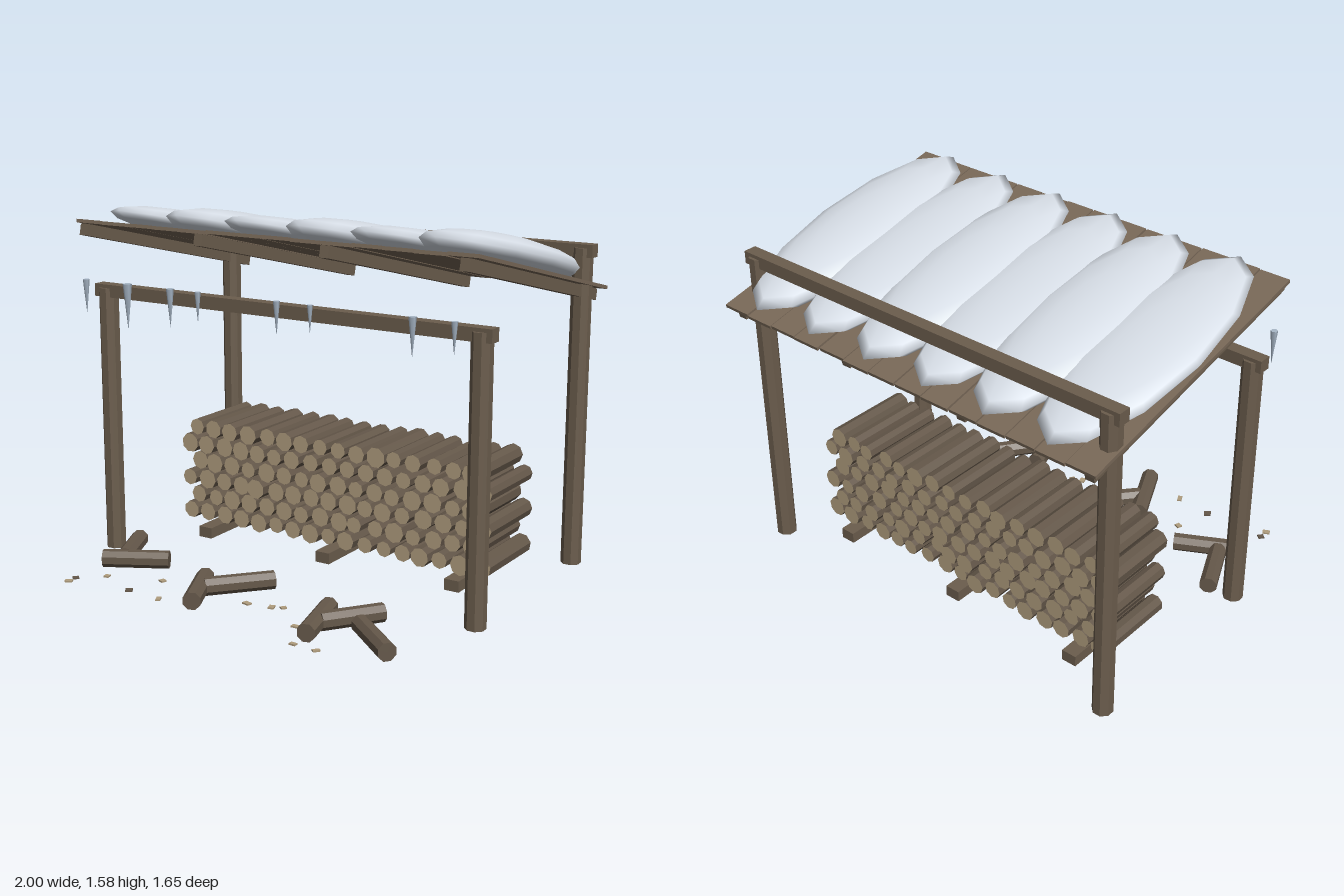
import * as THREE from 'three';

const mat = (name, color, flatShading = true) => {
  const m = new THREE.MeshStandardMaterial({ color, flatShading });
  m.name = name;
  return m;
};

export function createModel() {
  const timber = mat('timber', 0x6b5d4d);
  const plankWood = mat('plank wood', 0x786857);
  const bark = mat('bark', 0x65584a);
  const cutWood = mat('cut wood', 0xb09d7e);
  const snow = mat('snow', 0xdfe6ef, false);
  const ice = mat('ice', 0xa9b8c8, false);

  let seed = 7;
  const rand = (a, b) => {
    seed = (seed * 16807) % 2147483647;
    return a + (b - a) * (seed / 2147483647);
  };

  const model = new THREE.Group();
  model.name = 'woodShelter';
  const group = (name) => {
    const g = new THREE.Group();
    g.name = name;
    model.add(g);
    return g;
  };
  const add = (parent, name, geo, material, x, y, z) => {
    const m = new THREE.Mesh(geo, material);
    m.name = name;
    m.position.set(x, y, z);
    parent.add(m);
    return m;
  };
  const box = (w, h, d) => new THREE.BoxGeometry(w, h, d);

  // Frame: four posts and two cross beams
  const frame = group('frame');
  for (const [name, z, h] of [['front', 0.265, 1.205], ['back', -0.662, 1.415]]) {
    for (const x of [-0.925, 0.925]) {
      const post = new THREE.CylinderGeometry(0.045, 0.045, h, 8).rotateY(Math.PI / 8);
      add(frame, name + 'Post', post, timber, x, h / 2, z);
    }
    add(frame, name + 'Beam', box(1.96, 0.056, 0.058), timber, 0, h - 0.012, z);
  }

  // Sloping roof: local y is the roof normal
  const roof = group('roof');
  roof.position.set(0, 1.367, -0.205);
  roof.rotation.x = -0.231;
  for (let i = 0; i < 14; i++) {
    const plank = add(roof, 'plank', box(0.134, 0.015, rand(1.25, 1.265)), plankWood,
      -0.91 + i * 0.14, rand(-0.002, 0.002), rand(-0.003, 0.003));
    plank.rotation.y = rand(-0.004, 0.004);
  }
  for (const x of [-0.925, -0.31, 0.305, 0.922]) {
    add(roof, 'rafter', box(0.042, 0.05, 1.235), timber, x, -0.034, 0.012);
  }
  // Snow heaps; every second one is thicker and sags between the planks
  for (let i = 0; i < 6; i++) {
    const heap = new THREE.SphereGeometry(1, 12, 8);
    heap.scale(0.23, i % 2 ? 0.077 : 0.062, 0.614);
    add(roof, 'snowHeap', heap, snow, -0.768 + i * 0.307, 0.061, -0.012);
  }

  // Icicles: x and tip height
  const icicles = group('icicles');
  const tips = [[-0.92, 1.11], [-0.69, 1.06], [-0.46, 1.095], [-0.315, 1.13],
    [0.08, 1.12], [0.24, 1.145], [0.705, 1.1], [0.885, 1.13]];
  for (const [x, tip] of tips) {
    const h = 1.262 - tip;
    const cone = new THREE.ConeGeometry(0.1 * h, h, 6).rotateX(Math.PI);
    add(icicles, 'icicle', cone, ice, x, tip + h / 2, 0.418);
  }

  // Log stack on three bearers, alternate rows offset by half a log
  const stack = group('logStack');
  for (const x of [-0.65, 0, 0.65]) {
    add(stack, 'bearer', box(0.07, 0.05, 0.49), timber, x, 0.025, -0.292);
  }
  for (let row = 0; row < 6; row++) {
    const count = 17 - (row % 2);
    for (let i = 0; i < count; i++) {
      const r = rand(0.036, 0.047);
      const log = new THREE.CylinderGeometry(r, r, rand(0.385, 0.405), 8).rotateY(rand(0, 1)).rotateX(Math.PI / 2);
      add(stack, 'log', log, [bark, cutWood, cutWood],
        (i - (count - 1) / 2) * 0.0955 + rand(-0.006, 0.006),
        0.107 + row * 0.0815 + rand(-0.003, 0.003), -0.293 + rand(-0.01, 0.01));
    }
  }

  // Loose logs: start x, z and end x, z
  const loose = group('looseLogs');
  const ends = [[-0.79, 0.515, -0.53, 0.375], [-0.83, 0.21, -0.72, 0.45],
    [-0.27, 0.455, -0.14, 0.725], [-0.2, 0.56, 0.0, 0.33],
    [0.36, 0.46, 0.44, 0.755], [0.42, 0.62, 0.58, 0.4], [0.565, 0.555, 0.8, 0.745]];
  for (const [x0, z0, x1, z1] of ends) {
    const length = Math.hypot(x1 - x0, z1 - z0);
    const geo = new THREE.CylinderGeometry(0.04, 0.04, length, 8).rotateY(Math.PI / 8).rotateX(Math.PI / 2);
    const log = add(loose, 'looseLog', geo, bark, (x0 + x1) / 2, 0.039, (z0 + z1) / 2);
    log.rotation.y = Math.atan2(x1 - x0, z1 - z0);
  }

  // Wood chips scattered on the ground
  const chips = group('woodChips');
  const spots = [[-0.79, 0.7], [-0.79, 0.745], [-0.45, 0.525], [-0.5, 0.69], [-0.33, 0.705],
    [-0.25, 0.43], [0.01, 0.545], [0.12, 0.525], [0.165, 0.505], [0.32, 0.645], [0.41, 0.8],
    [0.52, 0.805], [-0.69, 0.61]];
  spots.forEach(([x, z], i) => {
    const chip = add(chips, 'chip', box(rand(0.018, 0.03), 0.007, rand(0.022, 0.036)),
      i === 0 || i === 3 ? bark : cutWood, x, 0.0035, z);
    chip.rotation.y = rand(0, 3);
  });

  return model;
}
